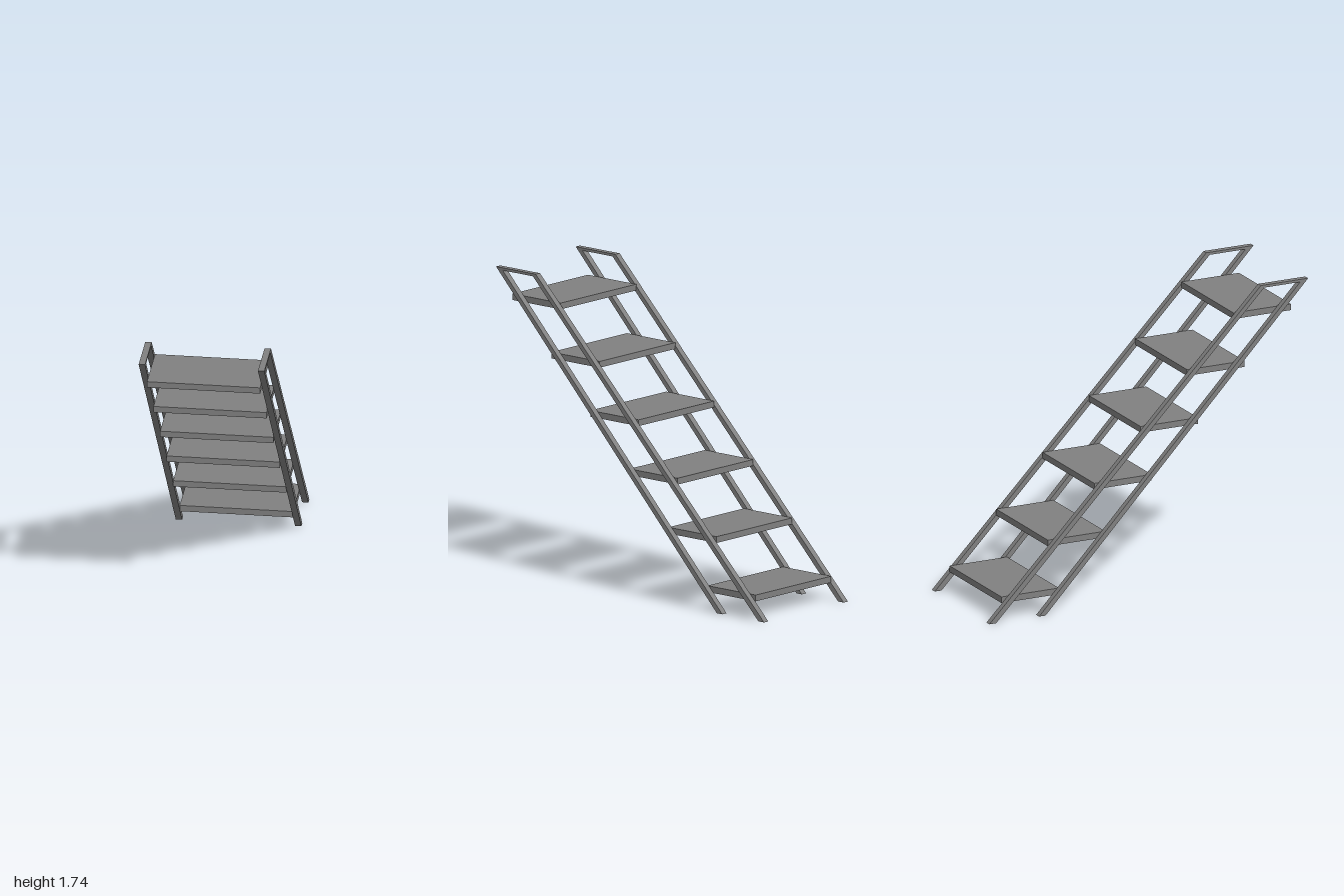
import * as THREE from 'three';

export function createModel() {
  const group = new THREE.Group();
  group.name = 'stepLadder';
  const steel = new THREE.MeshStandardMaterial({ color: 0x808080 });
  steel.name = 'grey steel';

  // Side frame: two slanted rails joined by a flat top bar, drawn as (z, y)
  const railWidth = 0.036;
  const outline = [
    [-1, 0], [-0.958, 0], [0.725, 1.725], [0.95, 1.725],
    [-0.688, 0], [-0.648, 0], [1, 1.74], [0.704, 1.74],
  ].map(([z, y]) => new THREE.Vector2(z, y));
  const frameGeometry = new THREE.ExtrudeGeometry(new THREE.Shape(outline), {
    depth: railWidth, bevelEnabled: false,
  });
  frameGeometry.translate(0, 0, -railWidth / 2).rotateY(-Math.PI / 2);
  for (const [name, side] of [['leftSideFrame', 1], ['rightSideFrame', -1]]) {
    const frame = new THREE.Mesh(frameGeometry, steel);
    frame.name = name;
    frame.position.x = side * 0.336;
    group.add(frame);
  }

  // Six flat treads climbing towards the front
  const treadGeometry = new THREE.BoxGeometry(0.638, 0.036, 0.36);
  for (let i = 0; i < 6; i++) {
    const tread = new THREE.Mesh(treadGeometry, steel);
    tread.name = `tread${i + 1}`;
    tread.position.set(0, 0.119 + i * 0.291, -0.726 + i * 0.291);
    group.add(tread);
  }
  return group;
}
